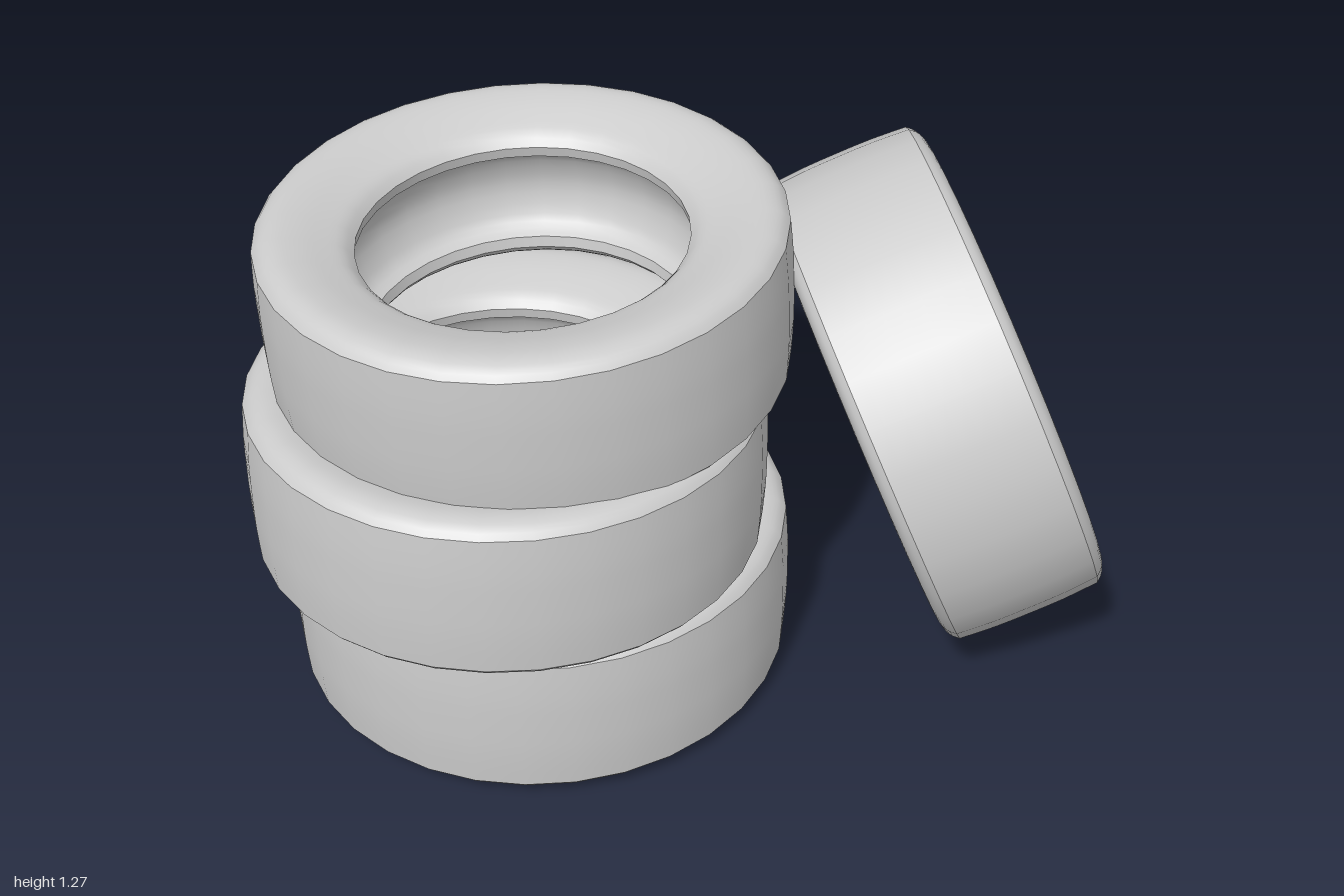
import * as THREE from 'three';
import { mergeGeometries } from 'three/addons/utils/BufferGeometryUtils.js';

const SEGMENTS = 32;
const vec = ([r, h]) => new THREE.Vector2(r, h);
const smooth = (points, n) => new THREE.SplineCurve(points.map(vec)).getPoints(n);
const flip = (points) => points.map((p) => new THREE.Vector2(p.x, -p.y)).reverse();

// One tyre around the y axis: each lathed strip is smooth, with a crease where strips meet
function tyreGeometry() {
  const tread = smooth([[0.605, -0.18], [0.611, -0.09], [0.612, 0], [0.611, 0.09], [0.605, 0.18]], 8);
  const sidewall = smooth([
    [0.605, 0.18], [0.585, 0.2], [0.55, 0.21], [0.5, 0.203],
    [0.45, 0.187], [0.405, 0.168], [0.38, 0.142],
  ], 18);
  const bead = [[0.38, 0.142], [0.385, 0.115]].map(vec);
  const cavity = smooth([[0.385, 0.115], [0.425, 0.085], [0.45, 0], [0.425, -0.085], [0.385, -0.115]], 14);
  const strips = [tread, sidewall, bead, cavity, flip(bead), flip(sidewall)];
  return mergeGeometries(strips.map((s) => new THREE.LatheGeometry(s, SEGMENTS)));
}

export function createModel() {
  const group = new THREE.Group();
  const geometry = tyreGeometry();
  const material = new THREE.MeshStandardMaterial({ color: 0xcccccc, side: THREE.DoubleSide });

  function addTyre(name, position, axis) {
    const tyre = new THREE.Mesh(geometry, material);
    tyre.name = name;
    tyre.position.set(...position);
    tyre.quaternion.setFromUnitVectors(new THREE.Vector3(0, 1, 0), new THREE.Vector3(...axis).normalize());
    group.add(tyre);
  }

  // Loose stack of three, the upper two slightly tipped
  addTyre('bottomTyre', [-0.32, 0.225, 0.28], [0, 1, 0]);
  addTyre('middleTyre', [-0.32, 0.645, 0.38], [0, 1, -0.028]);
  addTyre('topTyre', [-0.32, 1.037, 0.28], [0, 1, 0.04]);
  // Fourth tyre leaning against the stack
  addTyre('leaningTyre', [0.36, 0.63, -0.435], [0.66, 0.36, -0.66]);

  return group;
}
